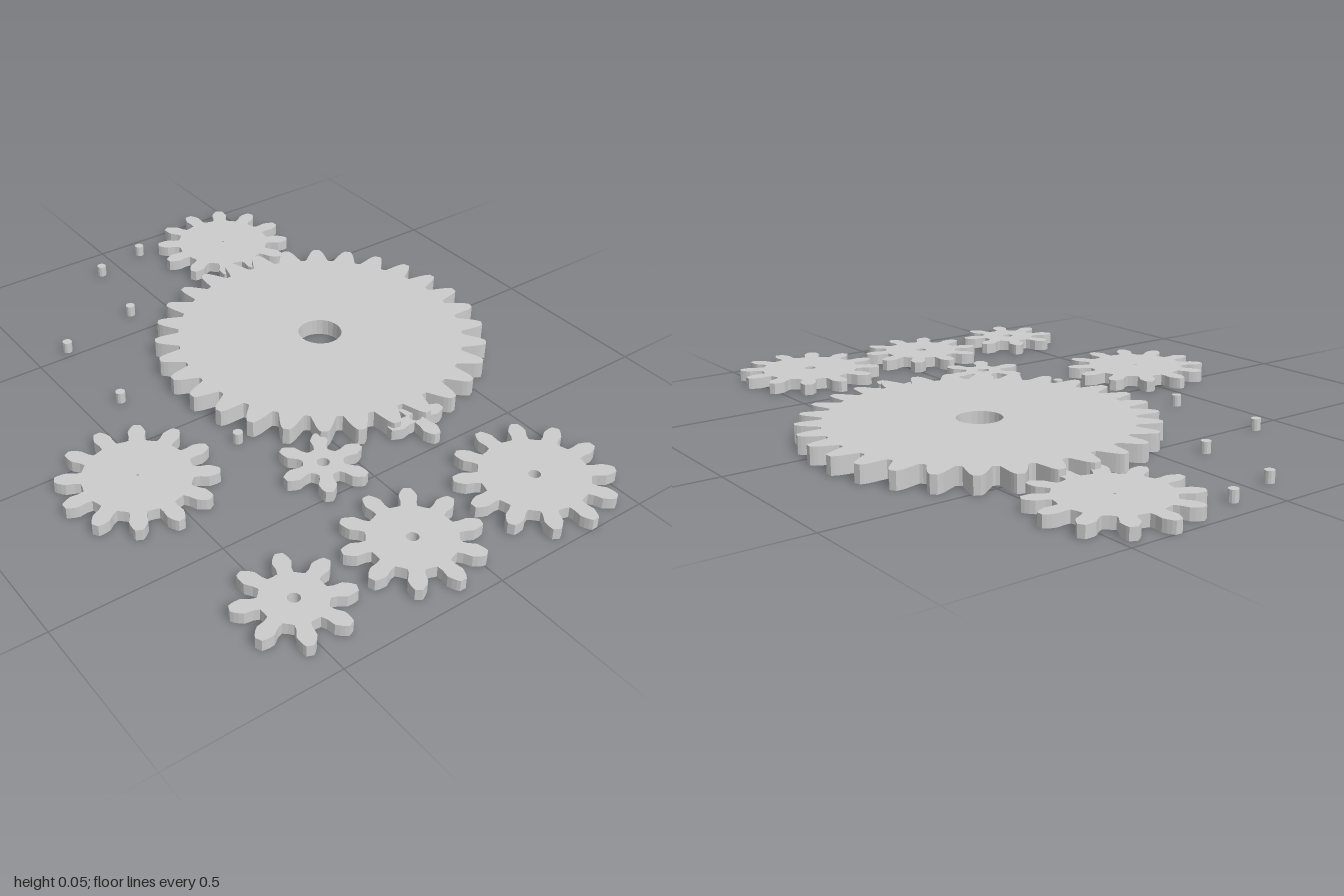
import * as THREE from 'three';

const MODULE = 0.032; // tooth size shared by every gear
const THIN = 0.034;
const material = new THREE.MeshStandardMaterial({ color: 0xcccccc, flatShading: true });

// Outline of a spur gear; low tooth counts get narrower (undercut) tooth roots
function gearShape(teeth, phase, holeRadius) {
  const m = MODULE, pitch = m * teeth / 2;
  const root = pitch - 1.25 * m;
  const t = Math.min(1, Math.max(0, (teeth - 6) / 24));
  const flank = [ // [radius, half width]
    [root, m * (0.58 + 0.62 * t)],
    [pitch - 0.75 * m, m * (0.58 + 0.42 * t)],
    [pitch - 0.3 * m, m * (0.7 + 0.17 * t)],
    [pitch, m * 0.78],
    [pitch + 0.4 * m, m * 0.65],
    [pitch + 0.75 * m, m * 0.48],
    [pitch + m, m * 0.3],
  ];
  const points = [];
  const add = (angle, along, across) => points.push(new THREE.Vector2(
    along * Math.cos(angle) - across * Math.sin(angle),
    along * Math.sin(angle) + across * Math.cos(angle)));
  const step = Math.PI * 2 / teeth;
  for (let i = 0; i < teeth; i++) {
    const angle = phase + i * step;
    // on tiny gears the root must stay inside the tooth's own sector
    const limit = ([r, w]) => Math.min(w, r * Math.tan(step / 2) * 0.8);
    for (const f of flank) add(angle, f[0], -limit(f));
    for (const f of [...flank].reverse()) add(angle, f[0], limit(f));
    add(angle + step / 2, root, 0);
  }
  const shape = new THREE.Shape(points);
  if (holeRadius > 0) {
    shape.holes.push(new THREE.Path().absarc(0, 0, holeRadius, 0, Math.PI * 2, true));
  }
  return shape;
}

function gear(name, teeth, x, z, phase, hole, height = THIN) {
  const geometry = new THREE.ExtrudeGeometry(gearShape(teeth, phase, hole), {
    depth: height, bevelEnabled: false, curveSegments: 12,
  });
  geometry.rotateX(-Math.PI / 2);
  const mesh = new THREE.Mesh(geometry, material);
  mesh.name = name;
  mesh.position.set(x, 0, z);
  return mesh;
}

export function createModel() {
  const group = new THREE.Group();
  group.name = 'gearSet';

  // Large main wheel, thicker than the rest
  group.add(gear('mainGear', 30, -0.1, -0.268, 0, 0.067, 0.052));

  // Twelve-tooth gears; two have only a pin-prick centre
  group.add(gear('leftGear', 12, -0.778, -0.358, 0, 0.004));
  group.add(gear('frontGear', 12, 0.155, 0.545, 0, 0.004));
  group.add(gear('twelveToothGear', 12, 0.775, -0.33, 0, 0.017));

  // Progressively smaller pinions
  group.add(gear('tenToothGear', 10, 0.775, 0.102, 0, 0.017));
  group.add(gear('eightToothGear', 8, 0.775, 0.478, Math.PI / 8, 0.017));
  group.add(gear('sixToothGear', 6, 0.402, 0.103, Math.PI / 2, 0.018));
  group.add(gear('fourToothGear', 4, 0.392, -0.237, 0, 0.017));

  // Loose axle pins
  const pinGeometry = new THREE.CylinderGeometry(0.0145, 0.0145, THIN, 12);
  const pins = [[-0.923, -0.105], [-0.878, 0.07], [-0.603, 0.12],
    [-0.533, 0.388], [-0.207, 0.388], [0.155, 0.217]];
  pins.forEach(([x, z], i) => {
    const pin = new THREE.Mesh(pinGeometry, material);
    pin.name = `pin${i + 1}`;
    pin.position.set(x, THIN / 2, z);
    group.add(pin);
  });
  return group;
}
